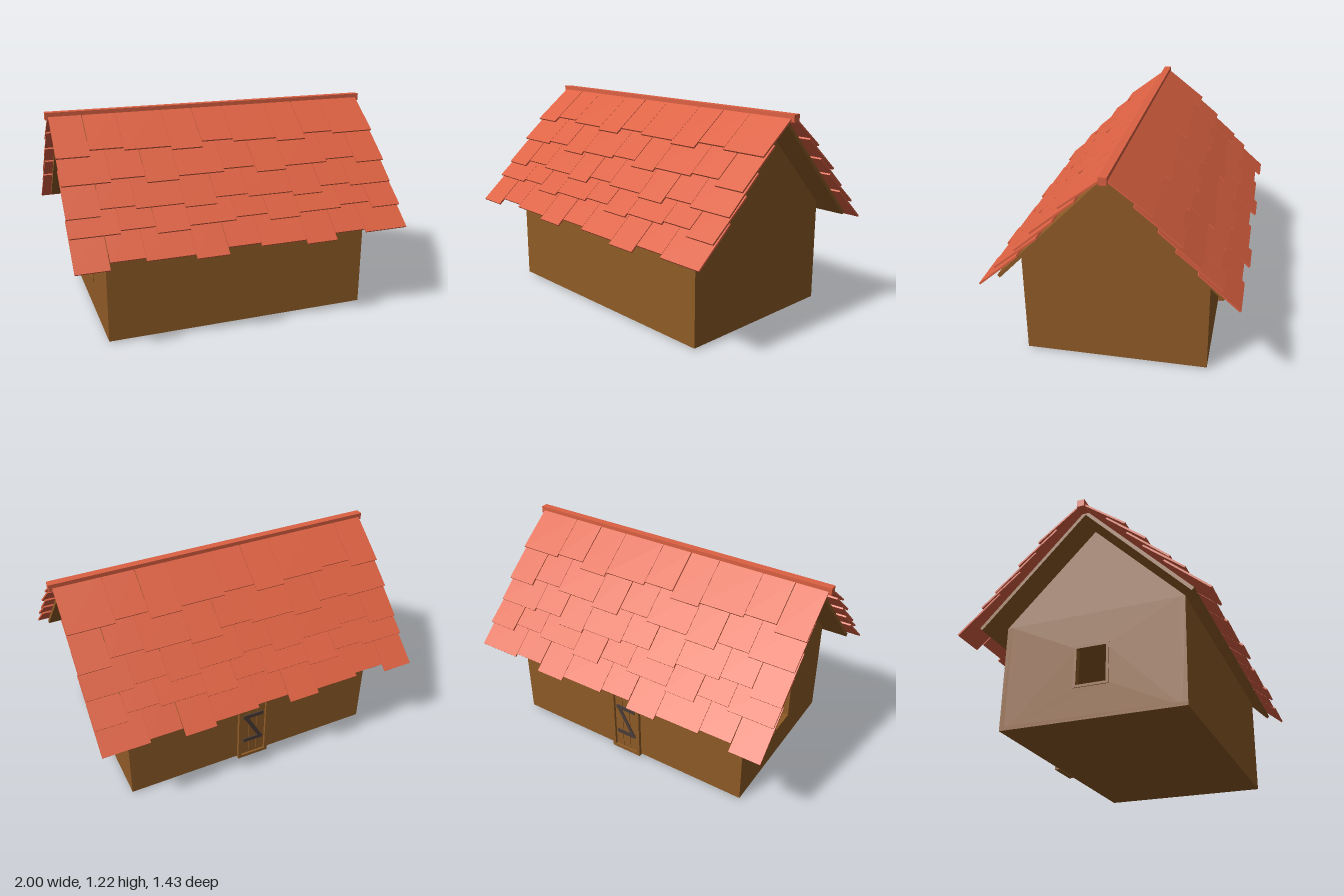
import * as THREE from 'three';

const wood = new THREE.MeshStandardMaterial({ color: 0x8f5b26 });
const clay = new THREE.MeshStandardMaterial({ color: 0xdc6142 });
const iron = new THREE.MeshStandardMaterial({ color: 0x4a3c38 });

// Box given by its min and max corners
function box(name, mat, x0, x1, y0, y1, z0, z1) {
  const m = new THREE.Mesh(new THREE.BoxGeometry(x1 - x0, y1 - y0, z1 - z0), mat);
  m.name = name;
  m.position.set((x0 + x1) / 2, (y0 + y1) / 2, (z0 + z1) / 2);
  return m;
}

// Sloping slab from (z0, y0) down to (z1, y1); side +1 is front, -1 is back
function slab(name, mat, x0, x1, z0, y0, z1, y1, thick, side) {
  const len = Math.hypot(z1 - z0, y1 - y0);
  const m = new THREE.Mesh(new THREE.BoxGeometry(x1 - x0, thick, len), mat);
  m.name = name;
  m.position.set((x0 + x1) / 2, (y0 + y1) / 2, side * (z0 + z1) / 2);
  m.rotation.x = side * Math.atan2(y0 - y1, z1 - z0);
  return m;
}

function rect(path, a0, a1, b0, b1) {
  path.moveTo(a0, b0);
  path.lineTo(a1, b0);
  path.lineTo(a1, b1);
  path.lineTo(a0, b1);
  path.closePath();
  return path;
}

// Extrude a (z, y) shape along x from x0 to x1
function extrudeX(name, shape, x0, x1) {
  const g = new THREE.ExtrudeGeometry(shape, { depth: x1 - x0, bevelEnabled: false });
  g.rotateY(-Math.PI / 2); // shape x becomes z, depth becomes -x
  g.translate(x1, 0, 0);
  const m = new THREE.Mesh(g, wood);
  m.name = name;
  return m;
}

function buildHouse() {
  const g = new THREE.Group();
  g.name = 'house';
  const X = 0.79, Z = 0.522, T = 0.03, H = 0.62, Y = 0.008;
  g.add(box('floor', wood, -X, X, Y, 0.03, -Z, Z));
  g.add(box('frontWall', wood, -X, X, Y, H, Z - T, Z));
  g.add(box('backWall', wood, -X, X, Y, H, -Z, T - Z));
  g.add(box('leftWall', wood, X - T, X, Y, H, T - Z, Z - T));

  // End wall with the window opening
  const wall = rect(new THREE.Shape(), T - Z, Z - T, Y, H);
  wall.holes.push(rect(new THREE.Path(), -0.085, 0.085, 0.205, 0.415));
  g.add(extrudeX('windowWall', wall, -X, T - X));

  // Thin window surround
  const frame = rect(new THREE.Shape(), -0.1, 0.1, 0.19, 0.43);
  frame.holes.push(rect(new THREE.Path(), -0.085, 0.085, 0.205, 0.415));
  g.add(extrudeX('windowFrame', frame, -X - 0.005, T - X + 0.005));

  // Gable block under the roof
  const gable = new THREE.Shape();
  gable.moveTo(-Z, H);
  gable.lineTo(Z, H);
  gable.lineTo(0, 1.152);
  gable.closePath();
  g.add(extrudeX('gable', gable, -X, X));
  return g;
}

function buildDoor() {
  const g = new THREE.Group();
  g.name = 'door';
  const z0 = -0.542, z1 = -0.515;
  for (const s of [-1, 1]) g.add(box('doorPost', wood, s * 0.09 - 0.01, s * 0.09 + 0.01, 0, 0.44, z0, z1));
  g.add(box('doorLintel', wood, -0.08, 0.08, 0.42, 0.44, z0, z1));
  g.add(box('doorSill', wood, -0.08, 0.08, 0, 0.02, z0, z1));
  // Planks with thin gaps
  for (let i = 0; i < 3; i++) {
    const x = -0.078 + i * 0.053;
    g.add(box('doorPlank', wood, x, x + 0.05, 0.02, 0.42, -0.529, z1));
  }
  // Cross bars and diagonal brace
  for (const y of [0.12, 0.31]) g.add(box('doorBar', iron, -0.065, 0.065, y, y + 0.025, -0.536, -0.528));
  const brace = box('doorBrace', iron, -0.012, 0.012, 0.125, 0.33, -0.535, -0.528);
  brace.rotation.z = -0.5;
  g.add(brace);
  return g;
}

function buildRoof() {
  const g = new THREE.Group();
  g.name = 'roof';
  // Tile rows: top z, top y, bottom z, bottom y
  const rows = [
    [0.012, 1.2, 0.257, 1.012],
    [0.148, 1.073, 0.393, 0.872],
    [0.268, 0.948, 0.503, 0.744],
    [0.357, 0.846, 0.6, 0.648],
    [0.472, 0.727, 0.712, 0.519],
  ];
  // Three tile kinds: start, end and share of the full length
  const kinds = [[0, 0.185, 1], [0.19, 0.38, 0.86], [0.382, 0.653, 0.92]];
  const period = 0.655;
  for (const side of [1, -1]) {
    g.add(slab('roofBoard', wood, -0.93, 0.93, 0, 1.186, 0.604, 0.562, 0.02, side));
    rows.forEach(([z0, y0, z1, y1], r) => {
      for (let n = 0; n < 3; n++) {
        for (const [a, b, f] of kinds) {
          // Every second row runs in the opposite order
          const [s, e] = r % 2 ? [period - b, period - a] : [a, b];
          const x = -0.983 + n * period;
          g.add(slab('roofTile', clay, x + s, x + e, z0, y0,
            z0 + (z1 - z0) * f, y0 + (y1 - y0) * f, 0.01, side));
        }
      }
    });
  }
  g.add(box('ridgeBeam', clay, -1, 1, 1.18, 1.222, -0.022, 0.022));
  return g;
}

export function createModel() {
  const model = new THREE.Group();
  model.name = 'cottage';
  model.add(buildHouse(), buildDoor(), buildRoof());
  return model;
}
